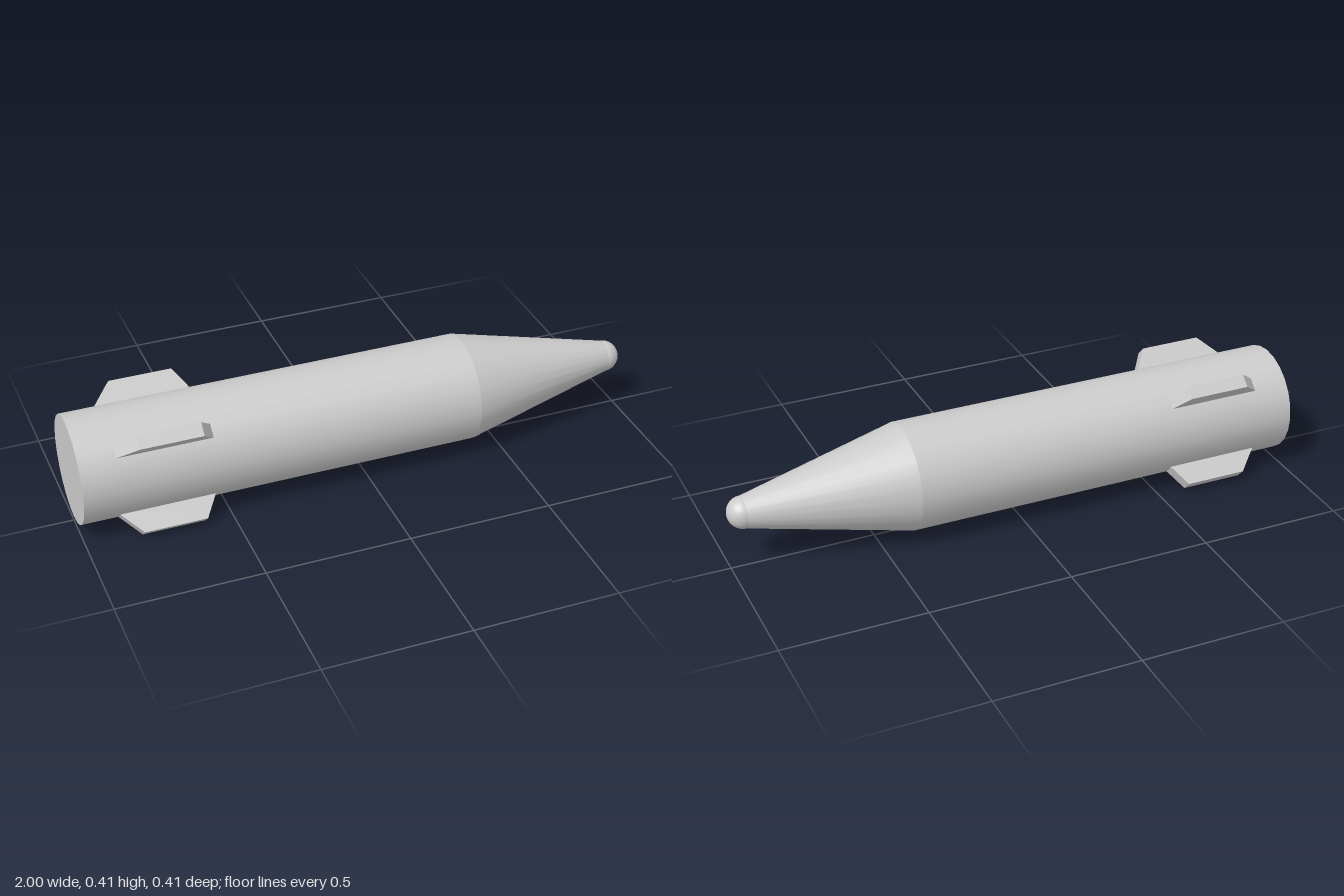
import * as THREE from 'three';

export function createModel() {
  const group = new THREE.Group();
  const grey = new THREE.MeshStandardMaterial({ color: 0xcccccc });
  const flatGrey = new THREE.MeshStandardMaterial({ color: 0xcccccc, flatShading: true });
  const axisY = 0.205, radius = 0.186;

  function add(name, geometry, x = 0, material = grey) {
    const mesh = new THREE.Mesh(geometry, material);
    mesh.name = name;
    mesh.position.set(x, axisY, 0);
    group.add(mesh);
    return mesh;
  }

  // Round section lying along x, from x0 to x1
  function section(name, x0, r0, x1, r1) {
    const geometry = new THREE.CylinderGeometry(r1, r0, x1 - x0, 24);
    geometry.rotateZ(-Math.PI / 2);
    add(name, geometry, (x0 + x1) / 2);
  }

  section('body', -1, radius, 0.39, radius);
  section('noseCone', 0.39, radius, 0.957, 0.052);
  add('noseTip', new THREE.SphereGeometry(0.055, 32, 20), 0.945);

  // Four tapered fins, rooted inside the body
  const profile = new THREE.Shape([
    new THREE.Vector2(-0.893, 0.163),
    new THREE.Vector2(-0.537, 0.163),
    new THREE.Vector2(-0.595, 0.258),
    new THREE.Vector2(-0.81, 0.258),
  ]);
  const thickness = 0.046;
  const finGeometry = new THREE.ExtrudeGeometry(profile, { depth: thickness, bevelEnabled: false });
  finGeometry.translate(0, 0, -thickness / 2);
  for (let i = 0; i < 4; i++) {
    const fin = add('fin', finGeometry, 0, flatGrey);
    fin.rotation.x = THREE.MathUtils.degToRad(46.7 + i * 90);
  }
  return group;
}
